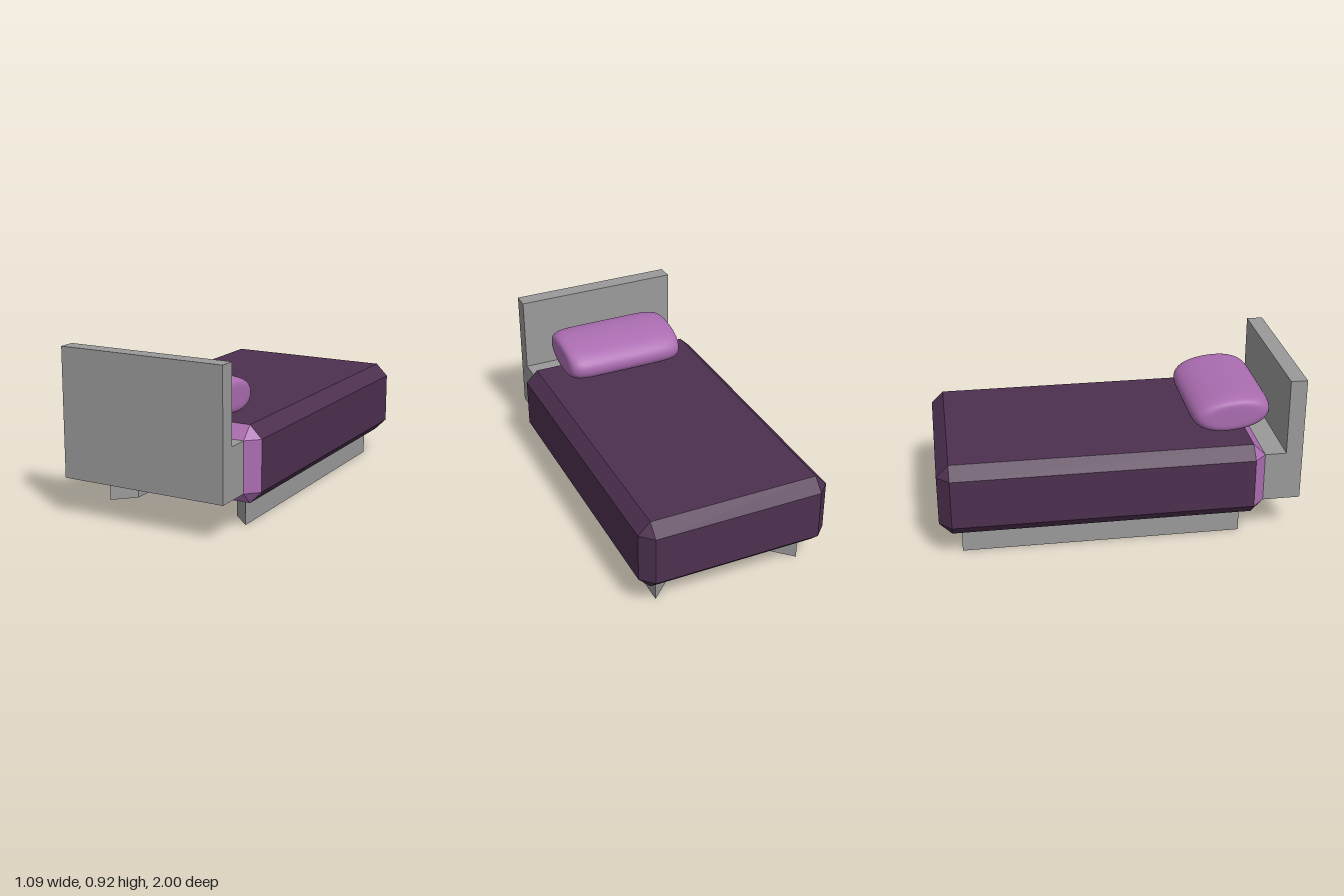
import * as THREE from 'three';
import { ConvexGeometry } from 'three/addons/geometries/ConvexGeometry.js';
import { mergeVertices } from 'three/addons/utils/BufferGeometryUtils.js';

const grey = new THREE.MeshStandardMaterial({ color: 0x9a9a9a, flatShading: true });
const blanket = new THREE.MeshStandardMaterial({ color: 0x4d304f, flatShading: true });
const sheet = new THREE.MeshStandardMaterial({ color: 0xab6db1, flatShading: true });
const pillowMat = new THREE.MeshStandardMaterial({ color: 0xab6db1 });

function add(parent, name, geometry, material) {
  const mesh = new THREE.Mesh(geometry, material);
  mesh.name = name;
  parent.add(mesh);
  return mesh;
}

// Box with every edge cut at 45 degrees: each corner becomes a triangle
function chamferedBox(hx, hy, hz, c) {
  const points = [];
  for (const x of [-1, 1]) for (const y of [-1, 1]) for (const z of [-1, 1]) {
    points.push(
      new THREE.Vector3(x * hx, y * (hy - c), z * (hz - c)),
      new THREE.Vector3(x * (hx - c), y * hy, z * (hz - c)),
      new THREE.Vector3(x * (hx - c), y * (hy - c), z * hz));
  }
  return new ConvexGeometry(points);
}

// Keep only the triangles whose normal passes the test
function pickFaces(geometry, test) {
  const pos = geometry.attributes.position;
  const kept = [];
  const tri = new THREE.Triangle();
  const n = new THREE.Vector3();
  for (let i = 0; i < pos.count; i += 3) {
    tri.setFromAttributeAndIndices(pos, i, i + 1, i + 2);
    tri.getNormal(n);
    if (test(n)) kept.push(tri.a.clone(), tri.b.clone(), tri.c.clone());
  }
  const out = new THREE.BufferGeometry().setFromPoints(kept);
  out.computeVertexNormals();
  return out;
}

// Cushion: ellipse-like cross-section with squarish ends along x
function cushion(hx, hy, hz) {
  const geo = new THREE.SphereGeometry(1, 56, 64);
  geo.rotateZ(Math.PI / 2);
  const pos = geo.attributes.position;
  const v = new THREE.Vector3();
  const side = 2.2, end = 7;
  for (let i = 0; i < pos.count; i++) {
    v.fromBufferAttribute(pos, i);
    const r = (Math.abs(v.y) ** side + Math.abs(v.z) ** side) ** (1 / side);
    v.divideScalar((Math.abs(v.x) ** end + r ** end) ** (1 / end));
    pos.setXYZ(i, v.x * hx, v.y * hy, v.z * hz);
  }
  geo.deleteAttribute('uv');
  geo.deleteAttribute('normal');
  const merged = mergeVertices(geo, 1e-5);
  merged.computeVertexNormals();
  return merged;
}

export function createModel() {
  const bed = new THREE.Group();
  bed.name = 'bed';

  // Mattress: dark blanket, lighter sheet at the head end, grey underside
  const mattress = new THREE.Group();
  mattress.name = 'mattress';
  bed.add(mattress);
  const body = chamferedBox(0.545, 0.208, 0.895, 0.068);
  body.translate(0, 0.352, -0.105);
  const isSheet = n => n.z > 0.1;
  const isBase = n => n.y < -0.99;
  add(mattress, 'blanket', pickFaces(body, n => !isSheet(n) && !isBase(n)), blanket);
  add(mattress, 'sheetEnd', pickFaces(body, isSheet), sheet);
  add(mattress, 'underside', pickFaces(body, isBase), grey);

  // Headboard: L-shaped profile (z, y) swept across the width
  const profile = new THREE.Shape([
    [0.79, 0.212], [1, 0.212], [1, 0.92], [0.908, 0.92], [0.908, 0.492], [0.79, 0.492],
  ].map(([z, y]) => new THREE.Vector2(-z, y)));
  const headboard = new THREE.ExtrudeGeometry(profile, { depth: 0.954, bevelEnabled: false });
  headboard.translate(0, 0, -0.477);
  headboard.rotateY(Math.PI / 2);
  add(bed, 'headboard', headboard, grey);

  // Foot rails: mitred ends, longer on the outside
  for (const s of [-1, 1]) {
    const plan = new THREE.Shape([
      [0.425, 0.67], [0.425, -0.88], [0.312, -0.77], [0.312, 0.56],
    ].map(([x, z]) => new THREE.Vector2(s * x, -z)));
    const rail = new THREE.ExtrudeGeometry(plan, { depth: 0.144, bevelEnabled: false });
    rail.rotateX(-Math.PI / 2);
    add(bed, s > 0 ? 'leftRail' : 'rightRail', rail, grey);
  }

  // Pillow, tipped up slightly towards the headboard
  const pillow = add(bed, 'pillow', cushion(0.352, 0.103, 0.222), pillowMat);
  pillow.position.set(0, 0.672, 0.638);
  pillow.rotation.x = -0.1;

  return bed;
}
